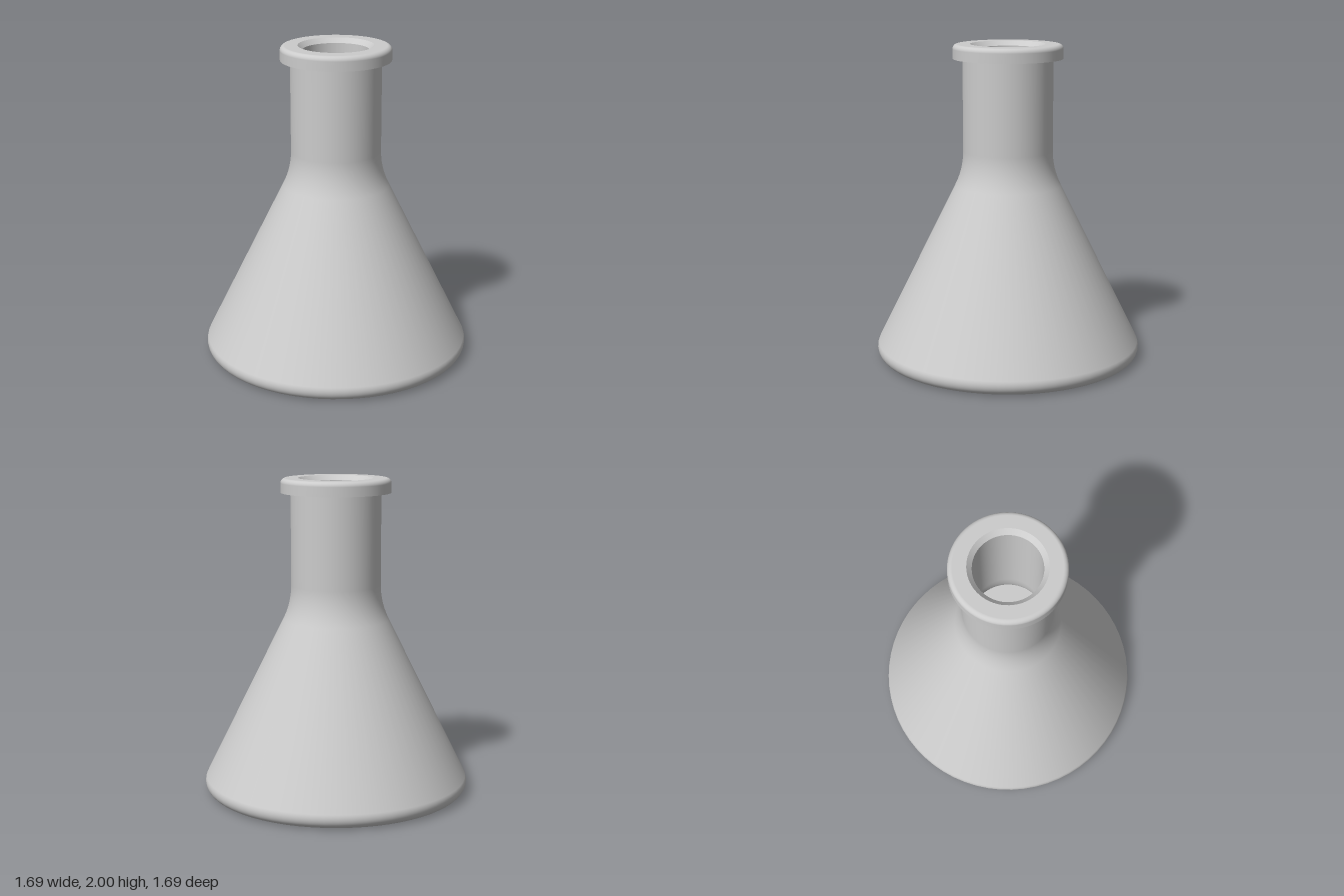
import * as THREE from 'three';

const SEGMENTS = 64;
const TILT = Math.atan(0.495); // lean of the conical wall

export function createModel() {
  const flask = new THREE.Group();
  flask.name = 'conicalFlask';
  const material = new THREE.MeshStandardMaterial({ color: 0xcccccc });

  // Turns one smooth stretch of profile; separate stretches keep the edges sharp
  const turn = (name, x, y, draw = () => {}) => {
    const path = new THREE.Path();
    path.moveTo(x, y);
    draw(path);
    const mesh = new THREE.Mesh(new THREE.LatheGeometry(path.getPoints(10), SEGMENTS), material);
    mesh.name = name;
    flask.add(mesh);
  };

  // Outside: flat base, rounded heel, cone, curved shoulder, straight neck
  turn('base', 0, 0, p => p.lineTo(0.775, 0));
  turn('body', 0.775, 0, p => p
    .absarc(0.775, 0.068, 0.068, -Math.PI / 2, TILT, false)
    .lineTo(0.335, 1.11)
    .quadraticCurveTo(0.283, 1.215, 0.283, 1.33)
    .lineTo(0.283, 1.91));

  // Rim: flat underside, rounded outer edge, chamfered mouth
  turn('rimUnderside', 0.283, 1.91, p => p.lineTo(0.345, 1.91));
  turn('rim', 0.345, 1.91, p => p
    .lineTo(0.345, 1.97)
    .absarc(0.315, 1.97, 0.03, 0, Math.PI / 2, false)
    .lineTo(0.235, 2));
  turn('mouthChamfer', 0.235, 2, p => p.lineTo(0.205, 1.97));

  // Inside: bore, flare, cone and floor, following the outer wall
  turn('innerWall', 0.205, 1.97, p => p
    .lineTo(0.205, 1.31)
    .quadraticCurveTo(0.205, 1.197, 0.255, 1.096)
    .absarc(0.677, 0.13, 0.05, TILT, -Math.PI / 2, true)
    .lineTo(0, 0.08));

  return flask;
}
